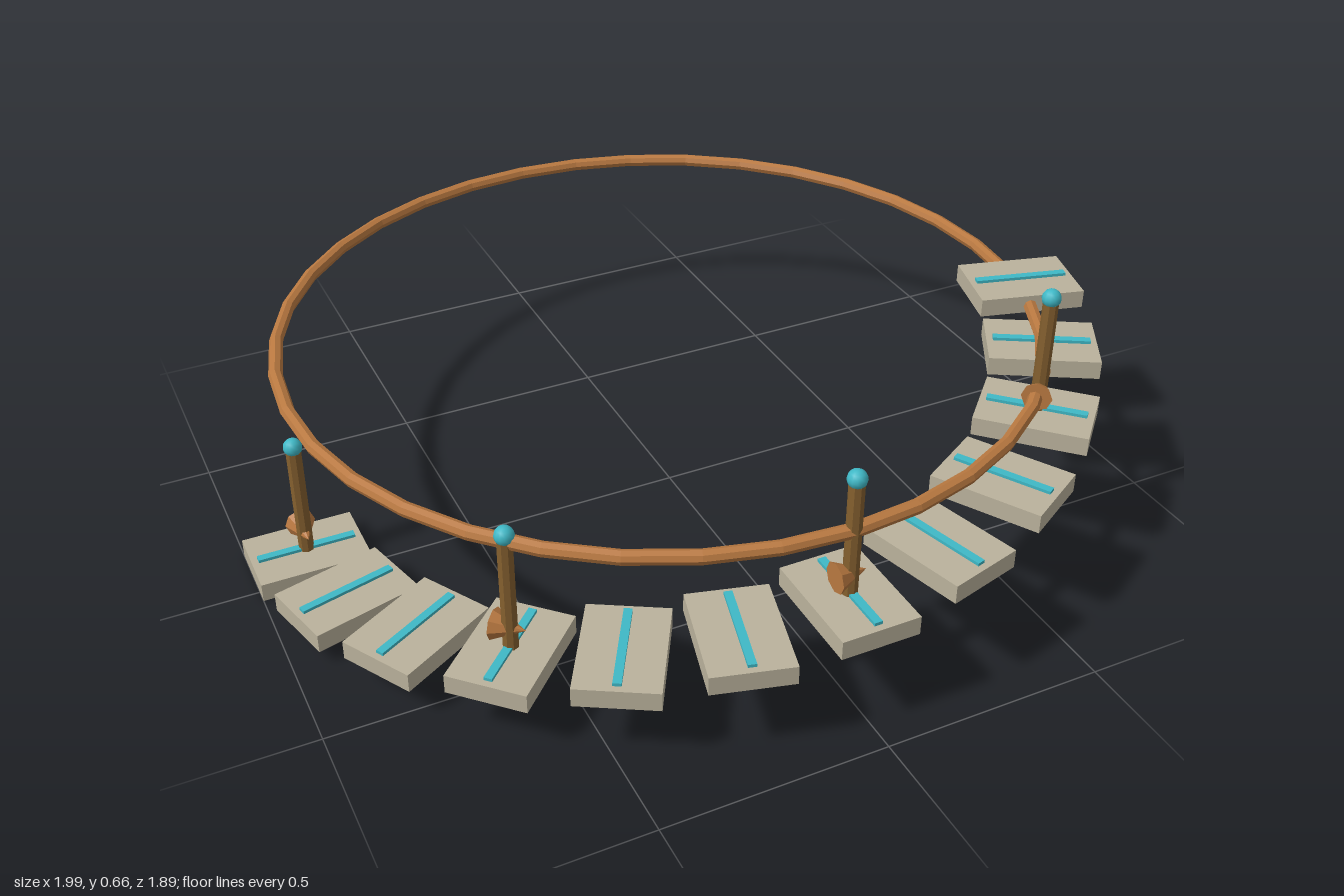
import * as THREE from 'three';

const RADIUS = 0.875;      // path radius
const CENTER_Z = -0.055;   // centre of the circle
const STEPS = 12;
const RISE = 0.0357;
const THICK = 0.043;

const flat = (color, name) => {
  const m = new THREE.MeshStandardMaterial({ color, flatShading: true });
  m.name = name;
  return m;
};

export function createModel() {
  const stone = flat(0xbab29c, 'stone');
  const copper = flat(0xb87840, 'copper');
  const bronze = flat(0x85602f, 'bronze');
  const teal = flat(0x3fb8c6, 'teal');
  teal.flatShading = false;

  const model = new THREE.Group();
  model.name = 'curvedStair';

  const slabGeo = new THREE.BoxGeometry(0.25, THICK, 0.176);
  const stripGeo = new THREE.BoxGeometry(0.22, 0.008, 0.018);
  const postGeo = new THREE.CylinderGeometry(0.017, 0.017, 0.262, 8);
  const ballGeo = new THREE.SphereGeometry(0.021, 12, 8);
  const arrowGeo = new THREE.ConeGeometry(0.034, 0.07, 8).rotateX(Math.PI / 2);

  const add = (parent, geo, mat, name, x, y, z = 0) => {
    const mesh = new THREE.Mesh(geo, mat);
    mesh.name = name;
    mesh.position.set(x, y, z);
    parent.add(mesh);
    return mesh;
  };

  // Steps climb 15 degrees apart; every third one carries a post and arrow
  for (let i = 0; i < STEPS; i++) {
    const step = new THREE.Group();
    step.name = 'step' + (i + 1);
    step.position.set(0, i * RISE, CENTER_Z);
    step.rotation.y = i * Math.PI / 12;
    add(step, slabGeo, stone, 'slab', -RADIUS, THICK / 2);
    add(step, stripGeo, teal, 'inlayStrip', -RADIUS, THICK + 0.003);
    if (i % 3 === 0) {
      add(step, postGeo, bronze, 'post', -RADIUS, THICK + 0.131);
      add(step, ballGeo, teal, 'postBall', -RADIUS, THICK + 0.274);
      add(step, arrowGeo, copper, 'directionArrow', -RADIUS, THICK + 0.047);
    }
    model.add(step);
  }

  // Level ring rail around the whole circle
  const ringGeo = new THREE.TorusGeometry(RADIUS, 0.016, 8, 36).rotateX(Math.PI / 2);
  add(model, ringGeo, copper, 'ringRail', 0, 0.409, CENTER_Z);

  return model;
}
